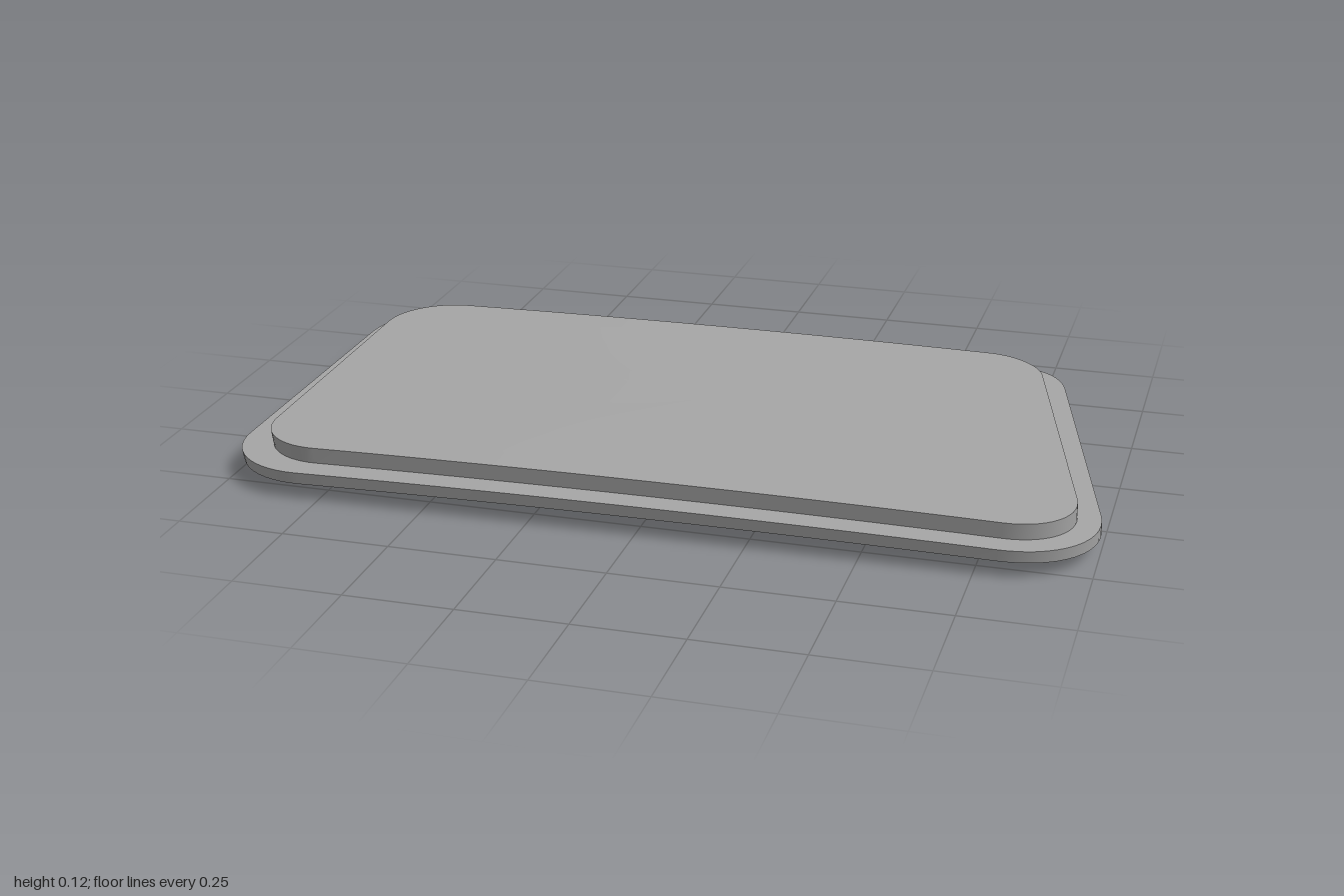
import * as THREE from 'three';

// Rounded outline as [x, z] points from corners [x, z, tangent length]
function outline(corners) {
  const path = new THREE.CurvePath();
  const n = corners.length;
  const ends = corners.map(([x, z, r], i) => {
    const p = new THREE.Vector2(x, z);
    const toward = (c) => new THREE.Vector2(c[0], c[1]).sub(p).setLength(r).add(p);
    return { p, from: toward(corners[(i + n - 1) % n]), to: toward(corners[(i + 1) % n]) };
  });
  const points = [];
  ends.forEach((e, i) => {
    const corner = new THREE.CubicBezierCurve(
      e.from, e.from.clone().lerp(e.p, 0.55), e.to.clone().lerp(e.p, 0.55), e.to);
    const side = new THREE.LineCurve(e.to, ends[(i + 1) % n].from);
    points.push(...corner.getPoints(14).slice(0, -1), ...side.getPoints(16).slice(0, -1));
  });
  return points;
}

// Smooth surface through closed rings of points
function loft(rings, material, name) {
  const n = rings[0].length;
  const index = [];
  for (let r = 0; r < rings.length - 1; r++) {
    for (let i = 0; i < n; i++) {
      const a = r * n + i, b = r * n + (i + 1) % n;
      index.push(a, b, b + n, a, b + n, a + n);
    }
  }
  const geometry = new THREE.BufferGeometry().setFromPoints(rings.flat());
  geometry.setIndex(index);
  geometry.computeVertexNormals();
  const mesh = new THREE.Mesh(geometry, material);
  mesh.name = name;
  return mesh;
}

// Slab with separate top, wall and underside; the top is shifted forward by lean
function slab(name, points, top, bottom, lean, material) {
  const group = new THREE.Group();
  group.name = name;
  const steps = [0, 0.4, 0.83, 0.86, 0.89, 0.92, 0.95, 0.975, 1];
  const ring = (s, height, shift) => points.map(
    (p) => new THREE.Vector3(p.x * s, height(p.x * s, p.y * s), p.y * s + shift));
  const upper = steps.map((s) => ring(s, top, lean));
  const lower = steps.map((s) => ring(s, bottom, 0)).reverse();
  group.add(
    loft(upper, material, name + 'Top'),
    loft([upper[upper.length - 1], lower[0]], material, name + 'Wall'),
    loft(lower, material, name + 'Underside'));
  return group;
}

export function createModel() {
  const model = new THREE.Group();
  model.name = 'cover';
  const grey = new THREE.MeshStandardMaterial({ color: 0xa6a6a6 });
  grey.name = 'grey';

  // Gentle crown across the width, and the downward curl of the back lip
  const crown = (x) => 0.012 * (1 - x * x);
  const curl = (z, drop) => drop * Math.max(0, (-0.49 - z) / 0.097) ** 2;

  const flange = outline([
    [-1, -0.583, 0.21], [0.776, -0.587, 0.16], [1.05, 0.55, 0.25], [-1, 0.575, 0.21]]);
  model.add(slab('flange', flange,
    (x, z) => 0.071 + crown(x) - curl(z, 0.015),
    (x, z) => 0.04 + crown(x) - curl(z, 0.044),
    0.01, grey));

  const panel = outline([
    [-0.945, -0.512, 0.16], [0.732, -0.515, 0.12], [0.983, 0.5, 0.18], [-0.93, 0.518, 0.16]]);
  model.add(slab('raisedPanel', panel,
    (x) => 0.112 + crown(x),
    (x) => 0.066 + crown(x),
    0.012, grey));

  return model;
}
